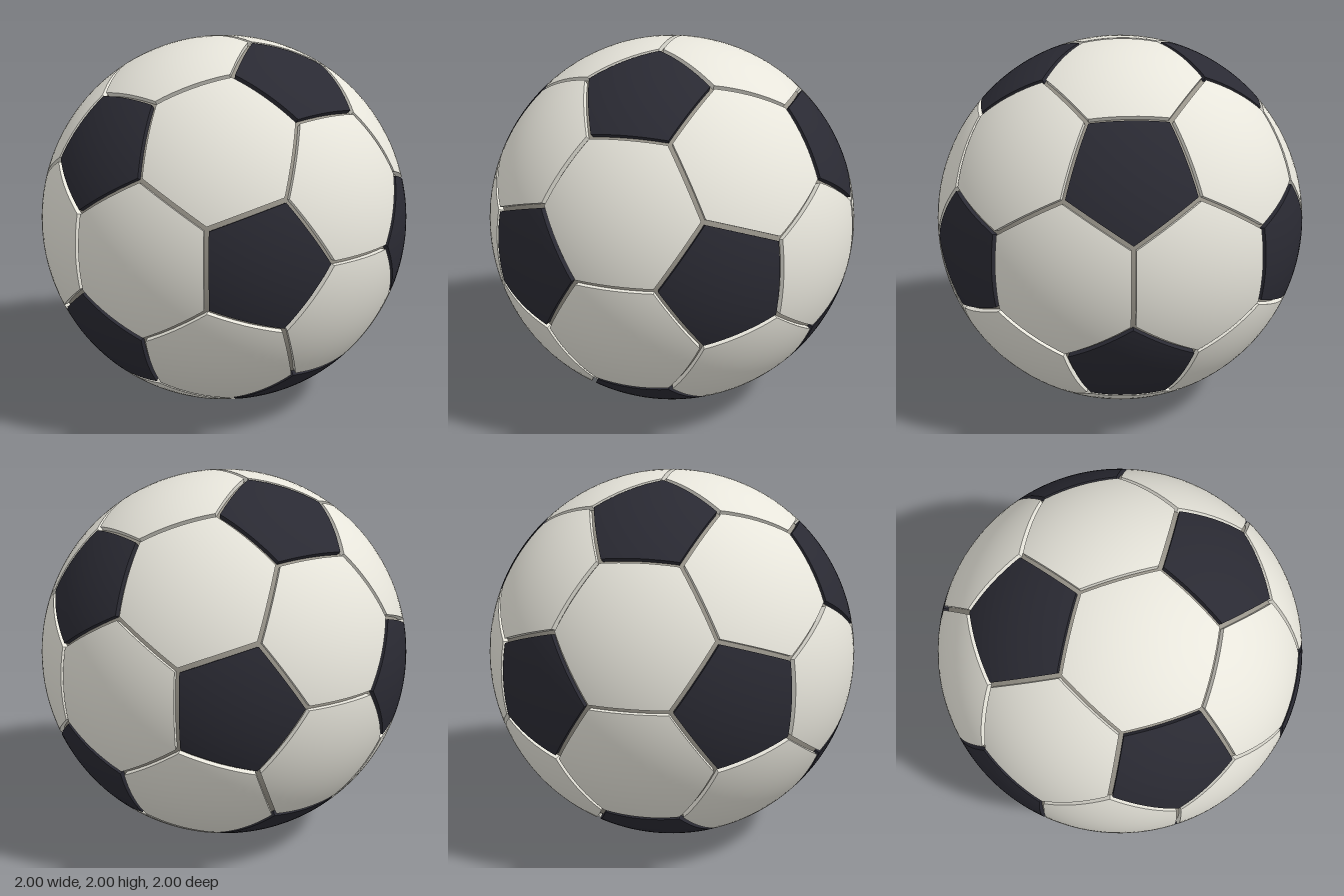
import * as THREE from 'three';
import { mergeGeometries } from 'three/addons/utils/BufferGeometryUtils.js';

const SEAM_RADIUS = 0.973; // ball under the panels
const HALF_GAP = 0.0125;   // half the width of a seam
const RINGS = 8, STEPS = 8;

// Domed panel: a flat polygon, inset for the seam, projected onto the unit sphere, with a skirt
function panelGeometry(corners) {
  const n = corners.length;
  const centre = corners.reduce((s, c) => s.add(c), new THREE.Vector3()).divideScalar(n);
  const axis = centre.clone().normalize();
  const u = corners[0].clone().sub(centre).normalize();
  const v = axis.clone().cross(u);
  const angle = (p) => Math.atan2(p.clone().sub(centre).dot(v), p.clone().sub(centre).dot(u));
  const sorted = [...corners].sort((a, b) => angle(a) - angle(b));
  const apothem = sorted[0].clone().add(sorted[1]).multiplyScalar(0.5).distanceTo(centre);
  const inset = 1 - HALF_GAP / apothem;

  const rim = [];
  sorted.forEach((c, i) => {
    for (let s = 0; s < STEPS; s++) {
      const p = c.clone().lerp(sorted[(i + 1) % n], s / STEPS);
      rim.push(centre.clone().lerp(p, inset));
    }
  });

  // Dome: centre point, then rings out to the rim
  const m = rim.length;
  const pos = [...axis.toArray()], index = [];
  for (let k = 1; k <= RINGS; k++) {
    for (const p of rim) pos.push(...centre.clone().lerp(p, k / RINGS).normalize().toArray());
  }
  for (let j = 0; j < m; j++) {
    const next = (j + 1) % m;
    index.push(0, 1 + j, 1 + next);
    for (let k = 1; k < RINGS; k++) {
      const a = 1 + (k - 1) * m, b = a + m;
      index.push(a + j, b + j, b + next, a + j, b + next, a + next);
    }
  }
  const dome = new THREE.BufferGeometry();
  dome.setAttribute('position', new THREE.Float32BufferAttribute(pos, 3));
  dome.setAttribute('normal', new THREE.Float32BufferAttribute(pos, 3));
  dome.setIndex(index);

  // Skirt: side walls from the rim down into the seam
  const wall = [];
  rim.forEach((p, j) => {
    const a = p.clone().normalize(), b = rim[(j + 1) % m].clone().normalize();
    const c = a.clone().multiplyScalar(SEAM_RADIUS - 0.01);
    const d = b.clone().multiplyScalar(SEAM_RADIUS - 0.01);
    for (const q of [a, c, d, a, d, b]) wall.push(...q.toArray());
  });
  const skirt = new THREE.BufferGeometry();
  skirt.setAttribute('position', new THREE.Float32BufferAttribute(wall, 3));
  skirt.computeVertexNormals();
  return mergeGeometries([dome.toNonIndexed(), skirt]);
}

export function createModel() {
  const material = (name, color) => new THREE.MeshStandardMaterial({ name, color });
  const cream = material('cream', 0xe8e6dc);
  const black = material('black', 0x2a2a33);
  const grey = material('seam grey', 0x98948a);

  const model = new THREE.Group();
  model.name = 'ball';
  const ball = new THREE.Group();
  ball.name = 'panels';
  ball.position.y = 1;
  model.add(ball);
  const add = (name, geometry, mat) => {
    const mesh = new THREE.Mesh(geometry, mat);
    mesh.name = name;
    ball.add(mesh);
  };

  add('seams', new THREE.SphereGeometry(SEAM_RADIUS, 80, 56), grey);

  // Twelve icosahedron corners, scaled so the truncated solid touches the unit sphere
  const phi = (1 + Math.sqrt(5)) / 2;
  const tips = [];
  for (const a of [-1, 1]) for (const b of [-phi, phi]) {
    tips.push(new THREE.Vector3(0, a, b), new THREE.Vector3(a, b, 0), new THREE.Vector3(b, 0, a));
  }
  const scale = 1 / tips[0].clone().lerp(new THREE.Vector3(0, -tips[0].y, tips[0].z), 1 / 3).length();
  tips.forEach((t) => t.multiplyScalar(scale));
  const near = (a, b) => a !== b && a.distanceTo(b) < 2.1 * scale;
  const third = (a, b) => a.clone().lerp(b, 1 / 3);

  // Pentagons, one at each corner
  for (const t of tips) {
    add('pentagonPanel', panelGeometry(tips.filter((o) => near(t, o)).map((o) => third(t, o))), black);
  }

  // Hexagons, one on each triangular face
  for (let i = 0; i < 12; i++) for (let j = i + 1; j < 12; j++) for (let k = j + 1; k < 12; k++) {
    const [a, b, c] = [tips[i], tips[j], tips[k]];
    if (!near(a, b) || !near(b, c) || !near(a, c)) continue;
    // The first two corners and the rest are sorted around the face when built
    const corners = [third(a, b), third(b, a), third(b, c), third(c, b), third(c, a), third(a, c)];
    add('hexagonPanel', panelGeometry(corners), cream);
  }
  return model;
}
